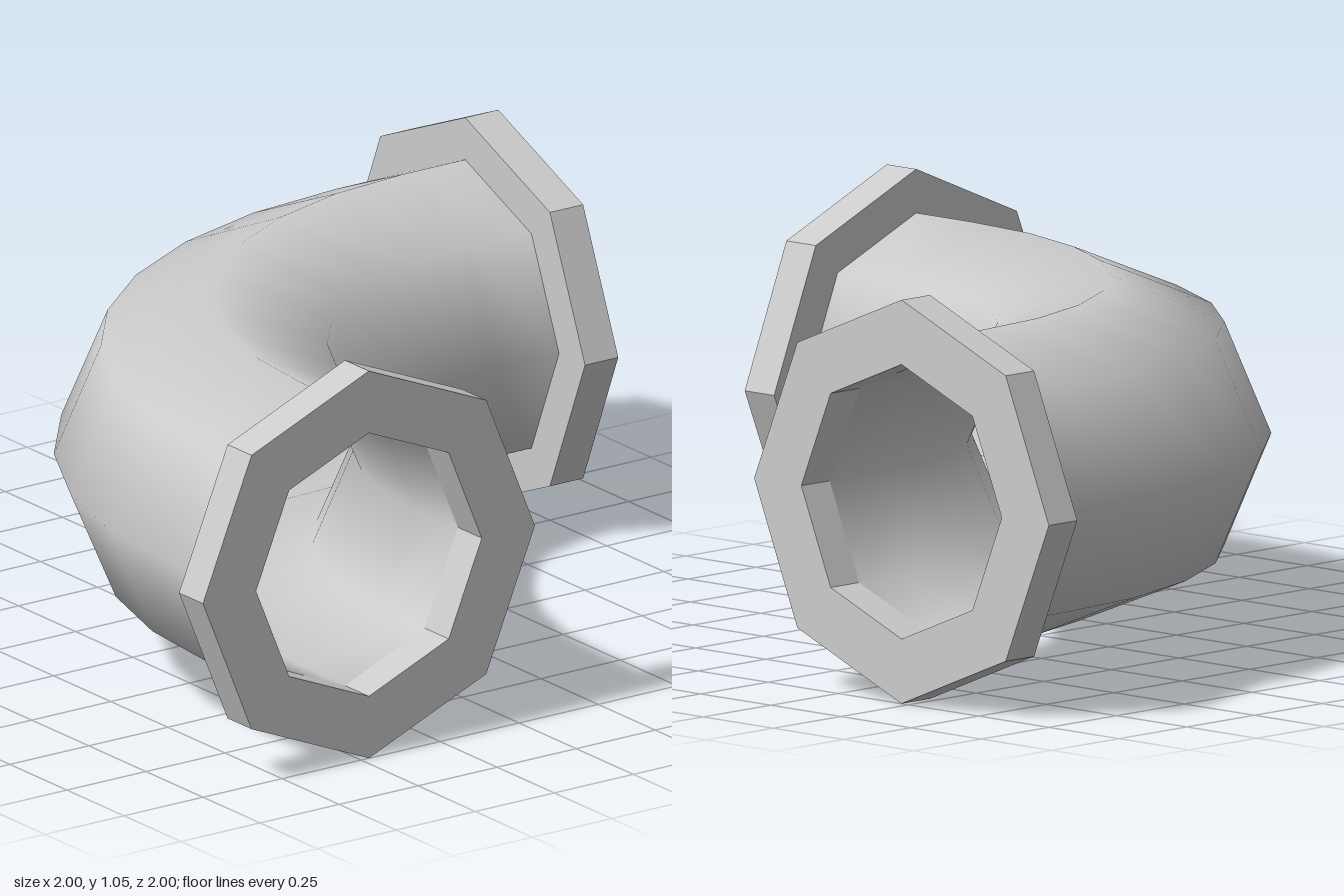
import * as THREE from 'three';

const SIDES = 8;
const FLANGE_R = 0.525, PIPE_R = 0.411, BORE_R = 0.357, FLANGE_T = 0.105;
const BEND = 0.7;               // bend centre at (BEND, -BEND) in x, z
const BEND_R = 1.175;           // radius of the pipe's centre line
const BEND_STEPS = 8;
const STRAIGHT = 1 - FLANGE_T - BEND;

const material = new THREE.MeshStandardMaterial({ color: 0xcccccc });

function octagon(radius, Type) {
  const points = [];
  for (let i = 0; i < SIDES; i++) {
    const t = (i / SIDES) * Math.PI * 2;
    points.push(new THREE.Vector2(radius * Math.cos(t), radius * Math.sin(t)));
  }
  return new Type(points);
}

// Smooth eight-sided wall: straight end, quarter bend, straight end
function pipeWall(radius, inward) {
  const rings = [{ a: 0, x: 0, z: -STRAIGHT }];
  for (let i = 0; i <= BEND_STEPS; i++) rings.push({ a: (i / BEND_STEPS) * Math.PI / 2, x: 0, z: 0 });
  rings.push({ a: Math.PI / 2, x: STRAIGHT, z: 0 });

  const positions = [], index = [];
  rings.forEach(({ a, x, z }, i) => {
    for (let j = 0; j < SIDES; j++) {
      const t = (j / SIDES) * Math.PI * 2;
      const d = BEND_R + radius * Math.cos(t);
      positions.push(BEND + x - d * Math.cos(a), FLANGE_R + radius * Math.sin(t), -BEND + z + d * Math.sin(a));
      if (i === rings.length - 1) continue;
      const p = i * SIDES + j, q = i * SIDES + (j + 1) % SIDES;
      const r = p + SIDES, s = q + SIDES;
      if (inward) index.push(p, q, r, q, s, r);
      else index.push(p, r, q, q, r, s);
    }
  });
  const geometry = new THREE.BufferGeometry();
  geometry.setAttribute('position', new THREE.Float32BufferAttribute(positions, 3));
  geometry.setIndex(index);
  geometry.computeVertexNormals();
  return geometry;
}

export function createModel() {
  const group = new THREE.Group();
  group.name = 'pipeElbow';
  const add = (name, geometry) => {
    const mesh = new THREE.Mesh(geometry, material);
    mesh.name = name;
    group.add(mesh);
    return mesh;
  };

  // Bent pipe with its outer and inner walls
  add('pipeOuterWall', pipeWall(PIPE_R, false));
  add('pipeInnerWall', pipeWall(BORE_R, true));

  // Octagonal flange rings at both ends
  const shape = octagon(FLANGE_R, THREE.Shape);
  shape.holes.push(octagon(BORE_R, THREE.Path));
  const flange = new THREE.ExtrudeGeometry(shape, { depth: FLANGE_T, bevelEnabled: false });
  const offset = BEND_R - BEND;
  add('backFlange', flange).position.set(-offset, FLANGE_R, -1);
  const side = add('leftFlange', flange);
  side.position.set(1 - FLANGE_T, FLANGE_R, offset);
  side.rotation.y = Math.PI / 2;

  return group;
}
